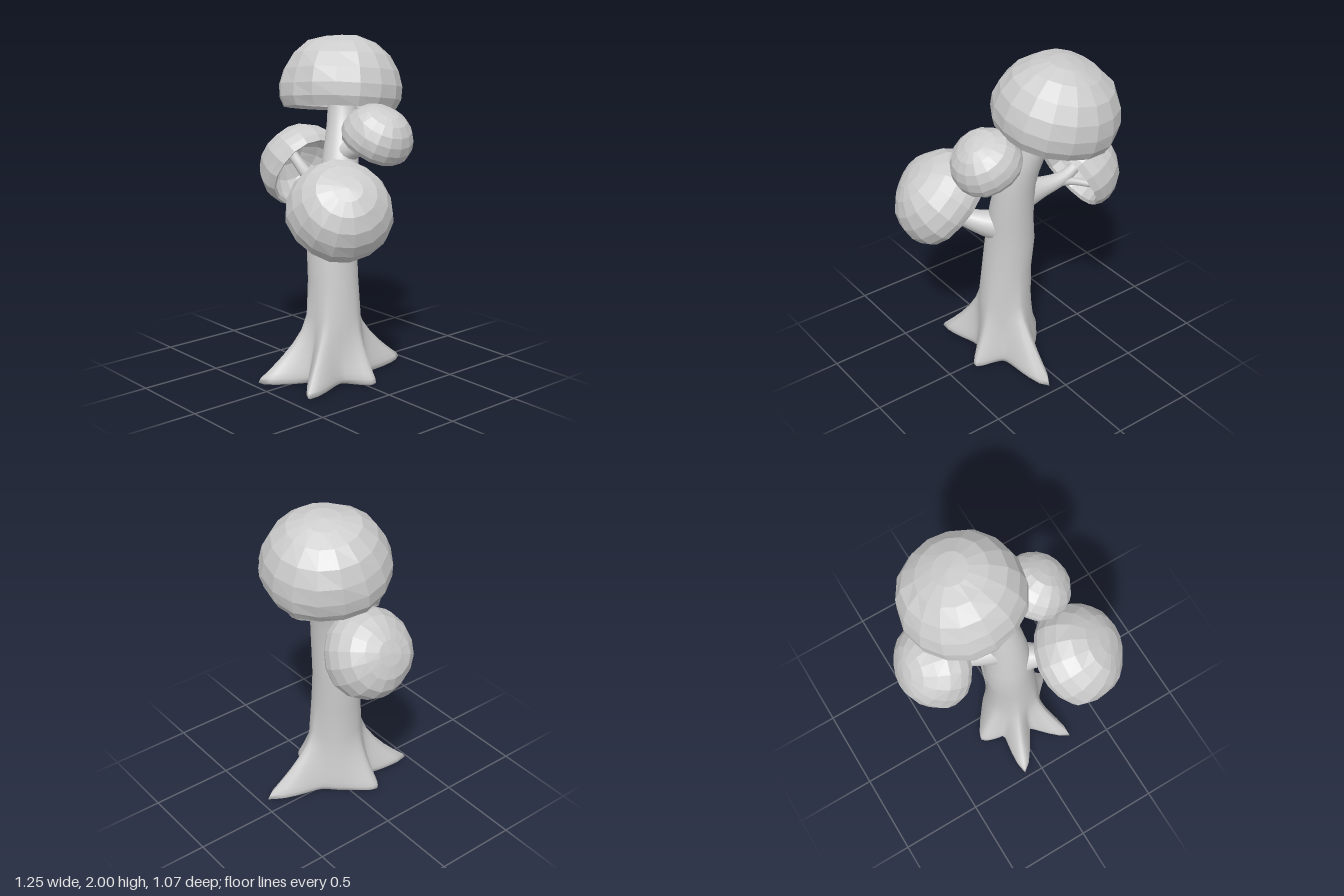
import * as THREE from 'three';

const V = (x, y, z) => new THREE.Vector3(x, y, z);
const smoothMat = new THREE.MeshStandardMaterial({ color: 0xcccccc });
const facetMat = new THREE.MeshStandardMaterial({ color: 0xcccccc, flatShading: true });

// Skin a list of closed rings (counter-clockwise around the direction of travel), ends closed
function loft(rings) {
  const n = rings[0].length, pos = [], idx = [];
  rings.forEach(ring => ring.forEach(p => pos.push(p.x, p.y, p.z)));
  for (let i = 0; i < rings.length - 1; i++) {
    for (let j = 0; j < n; j++) {
      const k = (j + 1) % n, a = i * n + j, b = i * n + k;
      idx.push(a, b, b + n, a, b + n, a + n);
    }
  }
  [0, rings.length - 1].forEach((r, end) => {
    const c = rings[r].reduce((s, p) => s.add(p), V(0, 0, 0)).divideScalar(n);
    const ci = pos.length / 3;
    pos.push(c.x, c.y, c.z);
    for (let j = 0; j < n; j++) {
      const a = r * n + j, b = r * n + (j + 1) % n;
      if (end) idx.push(ci, a, b); else idx.push(ci, b, a);
    }
  });
  const g = new THREE.BufferGeometry();
  g.setAttribute('position', new THREE.Float32BufferAttribute(pos, 3));
  g.setIndex(idx);
  g.computeVertexNormals();
  return g;
}

// Root tips on the ground: x, z, angular width
const ROOTS = [
  [-0.11, 0.475, 0.25], [0.27, 0.41, 0.25], [0.345, -0.04, 0.3],
  [0.10, -0.465, 0.26], [-0.24, 0.14, 0.42],
];
// Trunk stations: height, centre x, centre z, radius
const TRUNK = [
  [0, 0.05, 0.03, 0.14], [0.015, 0.05, 0.03, 0.175], [0.04, 0.05, 0.03, 0.182], [0.07, 0.05, 0.03, 0.182],
  [0.11, 0.05, 0.03, 0.178], [0.16, 0.05, 0.03, 0.172], [0.23, 0.052, 0.032, 0.165],
  [0.31, 0.054, 0.034, 0.16], [0.4, 0.055, 0.035, 0.157], [0.6, 0.045, 0.032, 0.148],
  [0.8, 0.025, 0.025, 0.147], [0.93, 0.03, 0.012, 0.137], [1.06, 0.03, -0.005, 0.127],
  [1.2, 0.022, -0.03, 0.115], [1.3, 0.005, -0.058, 0.106], [1.4, -0.022, -0.09, 0.097],
  [1.5, -0.055, -0.125, 0.09], [1.62, -0.088, -0.152, 0.083], [1.88, -0.12, -0.17, 0.07],
];

// Trunk whose lower rings swell out into the roots
function trunkGeometry(n = 72) {
  return loft(TRUNK.map(([y, cx, cz, r], i) => {
    const fade = Math.pow(Math.max(0, 1 - Math.max(0, y - 0.03) / 0.45), 2) * (i === 0 ? 0.9 : 1);
    return Array.from({ length: n }, (_, j) => {
      const t = j / n * Math.PI * 2;
      let grow = 0;
      for (const [x, z, w] of ROOTS) {
        const dx = x - cx, dz = z - cz;
        let d = t - Math.atan2(dx, dz);
        d = Math.atan2(Math.sin(d), Math.cos(d));
        grow = Math.max(grow, (Math.hypot(dx, dz) - r) * Math.exp(-Math.pow(Math.abs(d) / w, 1.4)) * fade);
      }
      return V(cx + Math.sin(t) * (r + grow), y, cz + Math.cos(t) * (r + grow));
    });
  }));
}

// Tapered limb along a curve, widening where it leaves its parent
function limbGeometry(points, r0, r1, n = 14, steps = 14) {
  const curve = new THREE.CatmullRomCurve3(points.map(p => V(...p)));
  const { normals, binormals } = curve.computeFrenetFrames(steps);
  const rings = [];
  for (let i = 0; i <= steps; i++) {
    const t = i / steps, c = curve.getPointAt(t);
    const r = r1 + (r0 - r1) * Math.pow(1 - t, 2.2);
    rings.push(Array.from({ length: n }, (_, j) => {
      const a = j / n * Math.PI * 2;
      return c.clone().addScaledVector(normals[i], Math.cos(a) * r)
        .addScaledVector(binormals[i], Math.sin(a) * r);
    }));
  }
  return loft(rings);
}

// Hollow dome: inner wall down to the rim, then the outer wall up to the crown
const CAP = [
  [0, 0.86], [0.35, 0.8], [0.65, 0.58], [0.8, 0.28], [0.84, 0.04], [0.92, -0.01],
  [0.99, 0.14], [1, 0.35], [0.94, 0.6], [0.8, 0.85], [0.56, 1.05], [0.28, 1.15], [0, 1.18],
];

function makeCap(name, centre, axis, radius, height = 1) {
  const g = new THREE.LatheGeometry(CAP.map(([x, y]) => new THREE.Vector2(x, y * height)), 16);
  // gentle unevenness
  const p = g.attributes.position;
  for (let i = 0; i < p.count; i++) {
    const x = p.getX(i), y = p.getY(i), z = p.getZ(i);
    const k = 1 + 0.02 * Math.sin(5 * x + 3 * y) * Math.cos(4 * z - 2 * y);
    p.setXYZ(i, x * k, y * k, z * k);
  }
  g.computeVertexNormals();
  const m = new THREE.Mesh(g, facetMat);
  m.name = name;
  m.position.set(...centre);
  m.scale.setScalar(radius);
  m.quaternion.setFromUnitVectors(V(0, 1, 0), V(...axis).normalize());
  return m;
}

export function createModel() {
  const model = new THREE.Group();
  model.name = 'mushroomTree';
  const add = (name, geometry) => {
    const m = new THREE.Mesh(geometry, smoothMat);
    m.name = name;
    model.add(m);
  };

  add('trunkWithRoots', trunkGeometry());

  // Branches start on the trunk's axis; small forks spread under the caps
  add('rightBranch', limbGeometry([[0.025, 1.09, -0.01], [-0.13, 1.105, -0.03], [-0.3, 1.145, -0.07], [-0.46, 1.25, -0.08]], 0.115, 0.032));
  add('rightFork', limbGeometry([[-0.25, 1.13, -0.06], [-0.34, 1.12, -0.11], [-0.42, 1.1, -0.17]], 0.038, 0.02));
  add('leftBranch', limbGeometry([[0.03, 0.89, 0.015], [0.16, 0.925, 0.08], [0.29, 0.99, 0.18], [0.42, 1.15, 0.28]], 0.12, 0.038));
  add('leftFork', limbGeometry([[0.25, 0.97, 0.15], [0.35, 0.98, 0.2], [0.43, 1.0, 0.25]], 0.038, 0.02));
  add('upperBranch', limbGeometry([[-0.005, 1.32, -0.065], [0.07, 1.355, -0.075], [0.16, 1.395, -0.09], [0.28, 1.53, -0.1]], 0.09, 0.034));

  // Caps
  model.add(
    makeCap('topCap', [-0.125, 1.573, -0.165], [-0.13, 1, -0.15], 0.36),
    makeCap('leftCap', [0.296, 1.032, 0.222], [0.63, 0.67, 0.32], 0.297, 0.95),
    makeCap('rightCap', [-0.32, 1.165, -0.085], [-0.89, 0.45, -0.02], 0.262, 0.97),
    makeCap('upperCap', [0.245, 1.405, -0.095], [0.5, 0.86, -0.05], 0.207, 0.96),
  );
  return model;
}
